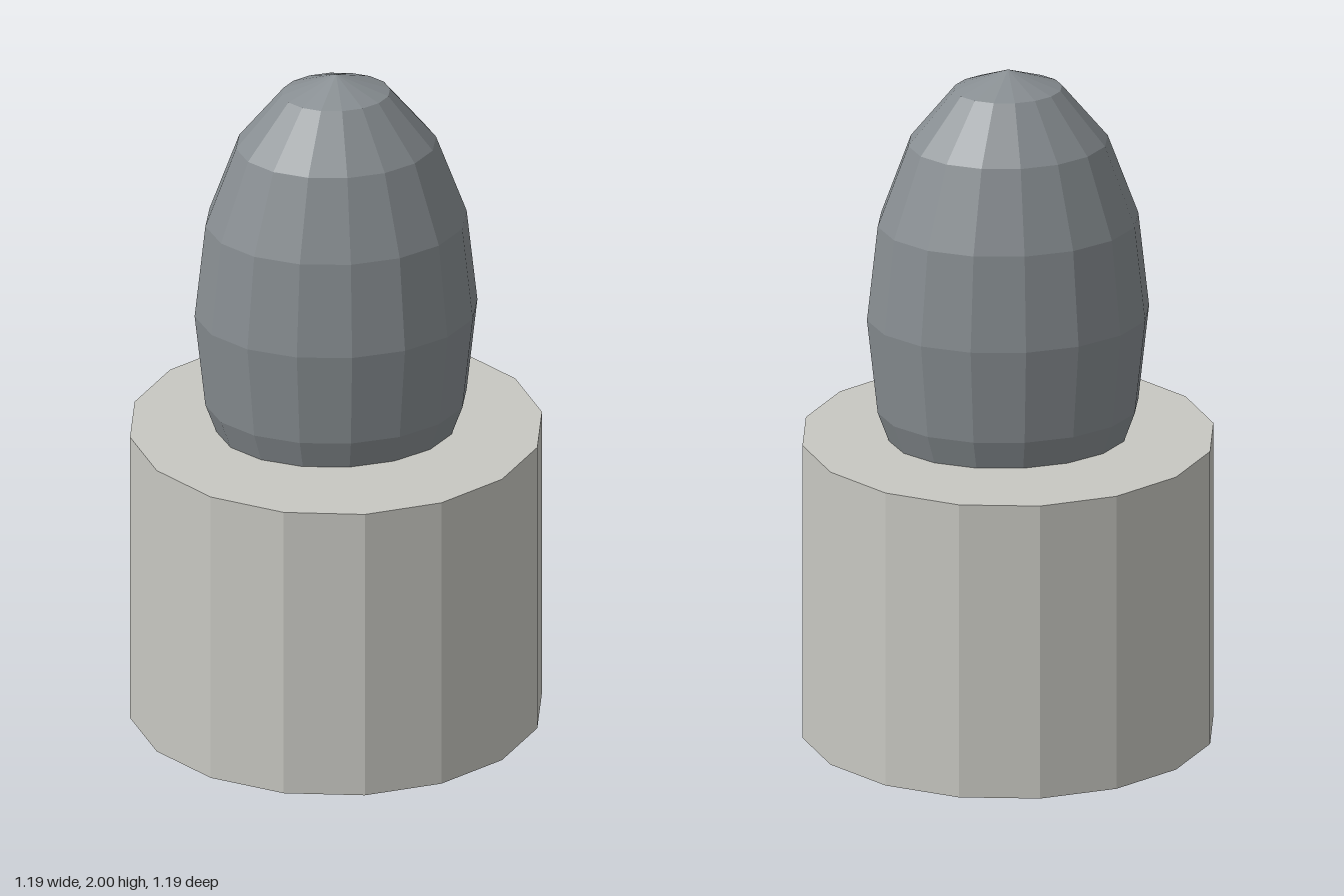
import * as THREE from 'three';

export function createModel() {
  const group = new THREE.Group();
  const add = (name, geometry, color, y) => {
    const material = new THREE.MeshStandardMaterial({ color, flatShading: true });
    const mesh = new THREE.Mesh(geometry, material);
    mesh.name = name;
    mesh.position.y = y;
    group.add(mesh);
  };

  // Sixteen-sided drum standing on the ground
  const baseHeight = 0.89;
  add('base', new THREE.CylinderGeometry(0.593, 0.593, baseHeight, 16), 0xc8c8c2, baseHeight / 2);

  // Tall faceted ellipsoid, its lower end sunk into the drum
  const dome = new THREE.SphereGeometry(1, 16, 8).scale(0.407, 0.74, 0.332);
  add('dome', dome, 0x878d91, 1.26);

  return group;
}
